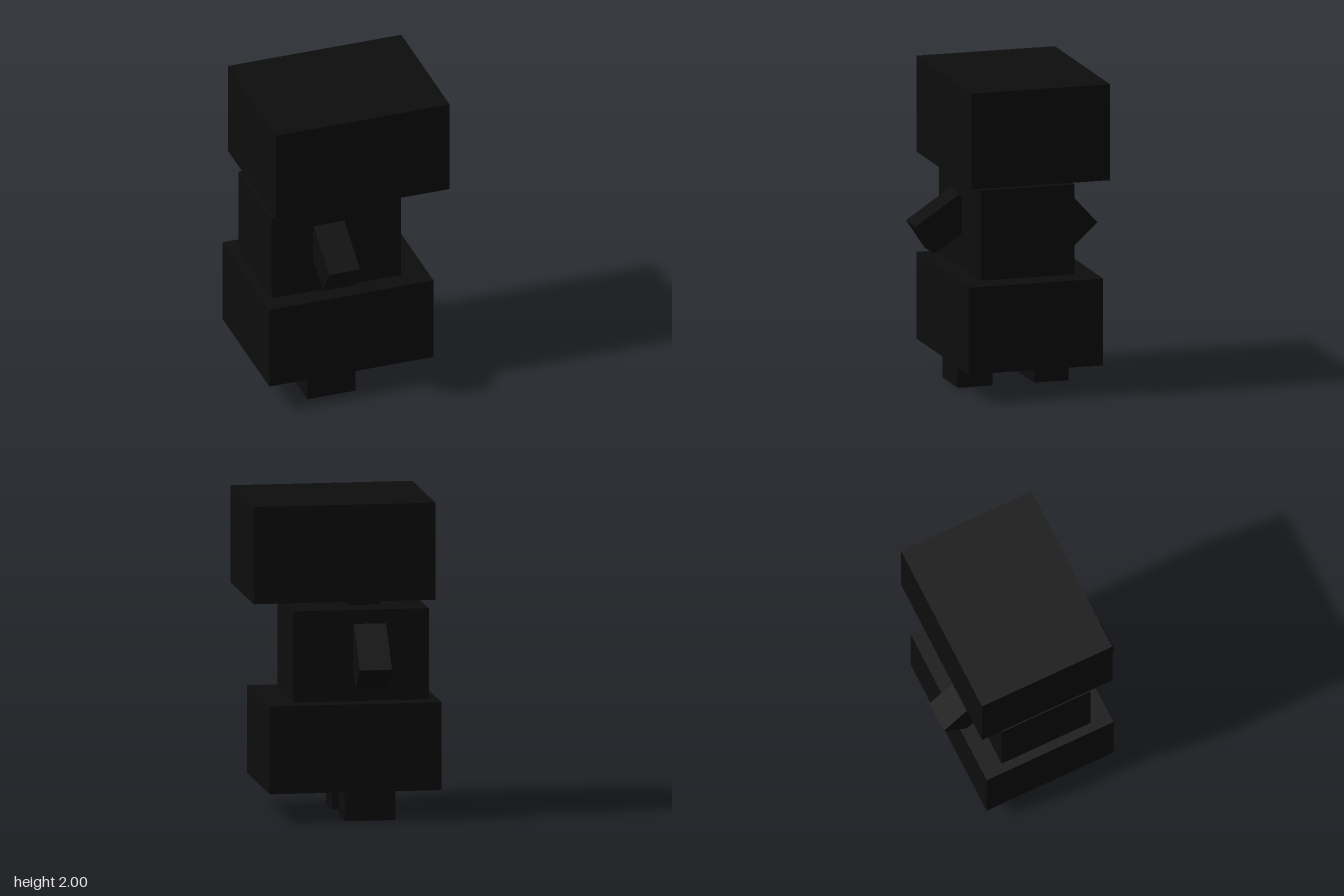
import * as THREE from 'three';

export function createModel() {
  const model = new THREE.Group();
  model.name = 'blockFigure';

  const black = new THREE.MeshStandardMaterial({ color: 0x0d0d0d });
  black.name = 'black';

  // Box spanning [min, max] on each axis
  function block(name, [x0, x1], [y0, y1], [z0, z1]) {
    const mesh = new THREE.Mesh(new THREE.BoxGeometry(x1 - x0, y1 - y0, z1 - z0), black);
    mesh.name = name;
    mesh.position.set((x0 + x1) / 2, (y0 + y1) / 2, (z0 + z1) / 2);
    model.add(mesh);
    return mesh;
  }

  // Stacked body
  block('head', [-0.553, 0.589], [1.39, 2], [-0.468, 0.432]);
  block('neck', [-0.26, -0.058], [1.316, 1.39], [-0.127, 0.095]);
  block('torso', [-0.535, 0.318], [0.744, 1.316], [-0.323, 0.291]);
  block('hips', [-0.593, 0.487], [0.192, 0.744], [-0.455, 0.42]);

  // Legs
  block('frontLeg', [-0.315, 0.003], [0, 0.192], [0.114, 0.339]);
  block('backLeg', [-0.315, 0.003], [0, 0.192], [-0.381, -0.156]);

  // Arms, sloping down and out of the torso
  for (const [name, z, tilt] of [['frontArm', 0.389, 0.584], ['backArm', -0.393, -0.835]]) {
    const arm = block(name, [-0.26, -0.058], [0.9245, 1.1405], [z - 0.173, z + 0.173]);
    arm.rotation.x = tilt;
  }

  return model;
}
